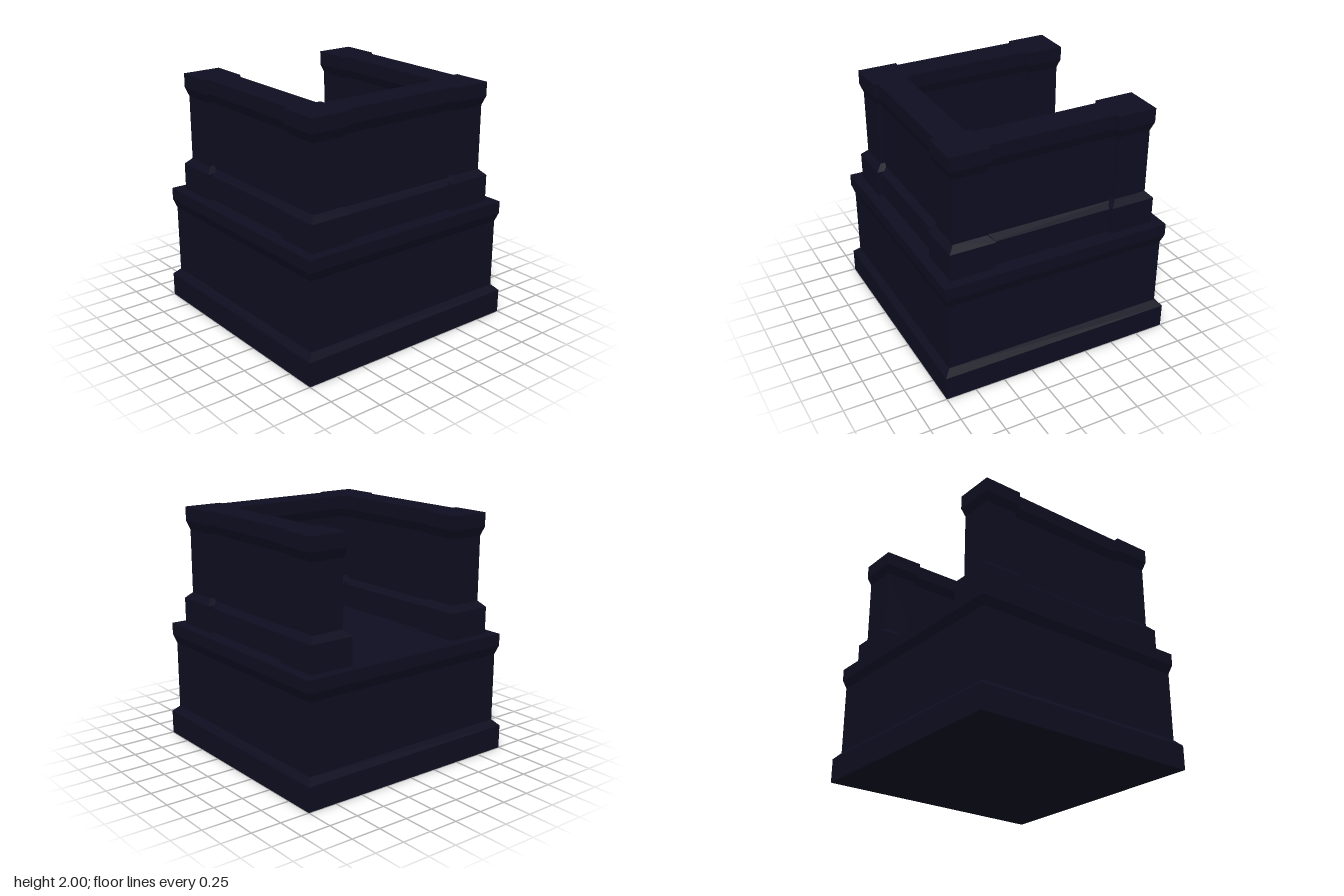
import * as THREE from 'three';

const stone = new THREE.MeshStandardMaterial({ color: 0x0d0d20 });
stone.name = 'dark navy stone';

// Square block with a moulded profile of [halfWidth, y] points, closed at both ends
function squareBlock(name, profile) {
  const pts = [[0, profile[0][1]], ...profile, [0, profile[profile.length - 1][1]]]
    .map(([half, y]) => new THREE.Vector2(half * Math.SQRT2, y));
  const geo = new THREE.LatheGeometry(pts, 4, Math.PI / 4).toNonIndexed();
  geo.computeVertexNormals();
  const mesh = new THREE.Mesh(geo, stone);
  mesh.name = name;
  return mesh;
}

// Straight wall along z whose cross-section is the mirrored profile
function wallRun(name, profile, length) {
  const right = profile.map(([half, y]) => new THREE.Vector2(half, y));
  const left = profile.map(([half, y]) => new THREE.Vector2(-half, y)).reverse();
  const geo = new THREE.ExtrudeGeometry(new THREE.Shape([...right, ...left]), {
    depth: length, bevelEnabled: false,
  });
  geo.translate(0, 0, -length / 2);
  const mesh = new THREE.Mesh(geo, stone);
  mesh.name = name;
  return mesh;
}

export function createModel() {
  const model = new THREE.Group();
  model.name = 'parapetTower';

  // Solid lower storey with plinth and cornice
  model.add(squareBlock('base', [
    [1, 0], [1, 0.2], [0.95, 0.25], [0.95, 0.825], [0.975, 0.9], [0.975, 1],
  ]));

  // Four corner posts
  const c = 0.7;
  const postProfile = [
    [0.19, 1], [0.19, 1.225], [0.14, 1.275], [0.14, 1.81], [0.165, 1.885], [0.165, 2],
  ];
  for (const x of [-1, 1]) {
    for (const z of [-1, 1]) {
      const post = squareBlock(`${z > 0 ? 'front' : 'back'}${x > 0 ? 'Left' : 'Right'}Post`, postProfile);
      post.position.set(x * c, 0, z * c);
      model.add(post);
    }
  }

  // Walls on the front and both sides; the back stays open
  const wallProfile = [
    [0.15, 1], [0.15, 1.205], [0.1, 1.25], [0.1, 1.81], [0.125, 1.885], [0.125, 2],
  ];
  for (const x of [-1, 1]) {
    const wall = wallRun(x > 0 ? 'leftWall' : 'rightWall', wallProfile, 2 * c);
    wall.position.x = x * c;
    model.add(wall);
  }
  const front = wallRun('frontWall', wallProfile, 2 * c);
  front.rotation.y = Math.PI / 2;
  front.position.z = c;
  model.add(front);

  return model;
}
